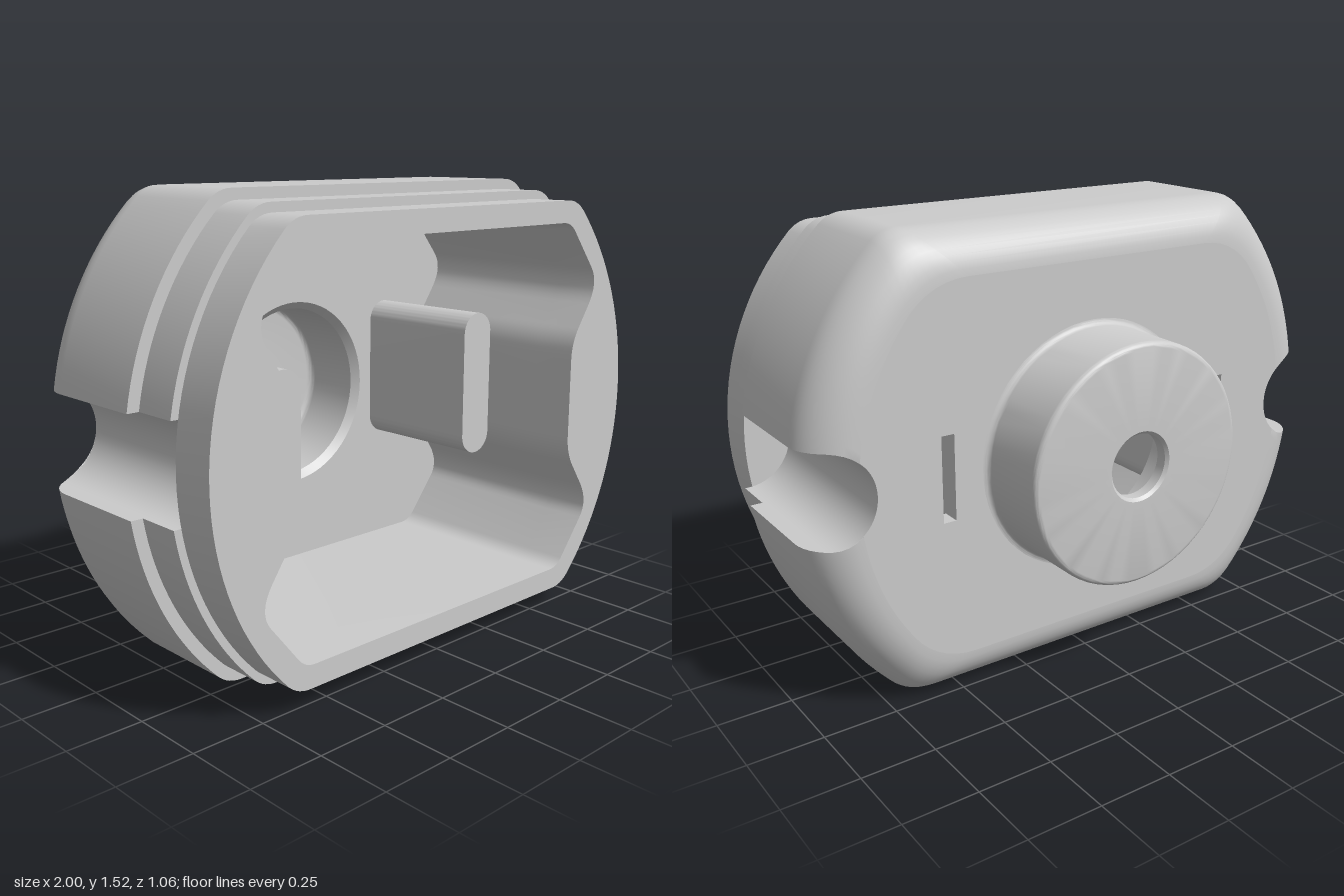
import * as THREE from 'three';
import { toCreasedNormals } from 'three/addons/utils/BufferGeometryUtils.js';

const V = (x, y) => new THREE.Vector2(x, y);
const FLOOR = -0.21, BACK = -0.275, STEP = 0.23, LIP = 0.38, FRONT = 0.53;
const NOTCH_X = 0.945, NOTCH_R = 0.155;

// Mirror a quarter outline into a full counter-clockwise loop
function mirror4(q) {
  const rev = [...q].reverse();
  return [
    ...q,
    ...rev.map(p => V(-p.x, p.y)),
    ...q.slice(1).map(p => V(-p.x, -p.y)),
    ...rev.slice(0, -1).map(p => V(p.x, -p.y)),
  ];
}

// Circle of radius R cut flat at +-h, with softened corners and optional side notches
function outline(R, h, soft, notched) {
  const q = [];
  let start = 0;
  if (notched) {
    const ix = (R * R + NOTCH_X ** 2 - NOTCH_R ** 2) / (2 * NOTCH_X);
    const open = ix >= NOTCH_X;
    const lip = open ? V(Math.sqrt(R * R - NOTCH_R ** 2), NOTCH_R) : V(ix, Math.sqrt(R * R - ix * ix));
    const end = open ? Math.PI / 2 : Math.atan2(lip.y, lip.x - NOTCH_X);
    for (let i = 0; i <= 12; i++) {
      const a = Math.PI + (end - Math.PI) * i / 12;
      q.push(V(NOTCH_X + NOTCH_R * Math.cos(a), i ? NOTCH_R * Math.sin(a) : 0));
    }
    start = Math.atan2(lip.y, lip.x);
  }
  const corner = Math.asin(h / R), cx = R * Math.cos(corner);
  const stop = corner - soft / R;
  for (let i = 0; i <= 16; i++) {
    const a = start + (stop - start) * i / 16;
    q.push(V(R * Math.cos(a), R * Math.sin(a)));
  }
  const bend = new THREE.QuadraticBezierCurve(q[q.length - 1], V(cx, h), V(cx - soft, h));
  q.push(...bend.getPoints(6).slice(1));
  return mirror4(q);
}

// Skin between equal-length loops [points, z], from front to back
function loft(rings) {
  const pos = [];
  const n = rings[0][0].length;
  for (let r = 0; r + 1 < rings.length; r++) {
    const [A, za] = rings[r], [B, zb] = rings[r + 1];
    for (let i = 0; i < n; i++) {
      const j = (i + 1) % n;
      const a = [A[i].x, A[i].y, za], b = [A[j].x, A[j].y, za];
      const c = [B[i].x, B[i].y, zb], d = [B[j].x, B[j].y, zb];
      pos.push(...a, ...c, ...b, ...b, ...c, ...d);
    }
  }
  const g = new THREE.BufferGeometry();
  g.setAttribute('position', new THREE.Float32BufferAttribute(pos, 3));
  return g;
}

const circle = r => Array.from({ length: 64 }, (_, i) =>
  V(r * Math.cos(i * Math.PI / 32), r * Math.sin(i * Math.PI / 32)));

function shapeWith(points, holes = []) {
  const s = new THREE.Shape(points);
  s.holes = holes.map(h => new THREE.Path(h));
  return s;
}

export function createModel() {
  const model = new THREE.Group();
  model.name = 'housing';
  model.position.y = 0.76;
  const material = new THREE.MeshStandardMaterial({ color: 0xcccccc });
  const add = (name, geometry, z = 0) => {
    const m = new THREE.Mesh(toCreasedNormals(geometry, 0.5), material);
    m.name = name;
    m.position.z = z;
    model.add(m);
    return m;
  };

  // Cavity outline with pinched sides
  const path = new THREE.Path();
  path.moveTo(0.645, 0);
  path.lineTo(0.645, 0.14);
  path.quadraticCurveTo(0.645, 0.2, 0.68, 0.25);
  path.lineTo(0.735, 0.33);
  path.quadraticCurveTo(0.785, 0.405, 0.74, 0.46);
  path.lineTo(0.635, 0.59);
  path.quadraticCurveTo(0.61, 0.62, 0.57, 0.62);
  const cavity = mirror4(path.getPoints(8));
  const slots = [-1, 1].map(s => {
    const x = 0.5475 * s, w = 0.0225, h = 0.143;
    return [V(x - w, -h), V(x + w, -h), V(x + w, h), V(x - w, h)];
  });

  // Front rim
  add('frontRim', new THREE.ExtrudeGeometry(shapeWith(outline(0.945, 0.695, 0.05, false), [cavity]),
    { depth: FRONT - LIP, bevelEnabled: false }), LIP);

  // Stepped outer shell with rounded back edge and side notches
  const collar = outline(0.97, 0.725, 0.05, true);
  const rings = [[collar, LIP], [collar, STEP], [outline(1.01, 0.76, 0.05, true), STEP]];
  for (let i = 0; i <= 10; i++) {
    const a = i / 10 * Math.PI / 2, k = 1 - Math.cos(a);
    rings.push([outline(1.01 - 0.16 * k, 0.76 - 0.14 * k, 0.05 + 0.07 * k, true),
      BACK + 0.15 * (1 - Math.sin(a))]);
  }
  add('outerShell', loft(rings));
  add('collarFace', new THREE.ShapeGeometry(shapeWith(collar, [cavity])), LIP);
  add('backFace', new THREE.ShapeGeometry(
    shapeWith(rings[rings.length - 1][0], [circle(0.425), ...slots])).rotateY(Math.PI), BACK);

  // Cavity walls, floor and slot walls
  const inward = pts => [...pts].reverse();
  add('cavityWall', loft([[inward(cavity), LIP], [inward(cavity), FLOOR]]));
  add('cavityFloor', new THREE.ShapeGeometry(shapeWith(cavity, [circle(0.33), ...slots])), FLOOR);
  for (const s of slots) add('slotWall', loft([[inward(s), FLOOR], [inward(s), BACK]]));

  // Rear boss with stepped bore: recess, through hole, back face, outside
  const fillet = (cx, cz, r, a0, a1) => Array.from({ length: 7 }, (_, i) => {
    const a = (a0 + (a1 - a0) * i / 6) * Math.PI / 180;
    return V(cx + r * Math.cos(a), cz + r * Math.sin(a));
  });
  const boss = [
    V(0.33, FLOOR), V(0.305, FLOOR - 0.025), V(0.305, -0.435),
    ...fillet(0.28, -0.435, 0.025, 0, -90).slice(1),
    V(0.13, -0.46), V(0.107, -0.483), V(0.107, -0.52), V(0.117, -0.53),
    ...fillet(0.383, -0.51, 0.02, -90, 0),
    ...fillet(0.425, -0.297, 0.022, 180, 90),
  ];
  add('rearBoss', new THREE.LatheGeometry(boss, 64).rotateX(Math.PI / 2));

  // Two upright fins inside, offset in height
  for (const s of [-1, 1]) {
    const fin = new THREE.Shape();
    fin.absarc(0, 0.185, 0.07, 0, Math.PI);
    fin.absarc(0, -0.185, 0.07, Math.PI, 2 * Math.PI);
    const m = add('fin', new THREE.ExtrudeGeometry(fin,
      { depth: 0.26 - FLOOR, bevelEnabled: false, curveSegments: 16 }), FLOOR);
    m.position.x = 0.455 * s;
    m.position.y = 0.042 * s;
  }
  return model;
}
